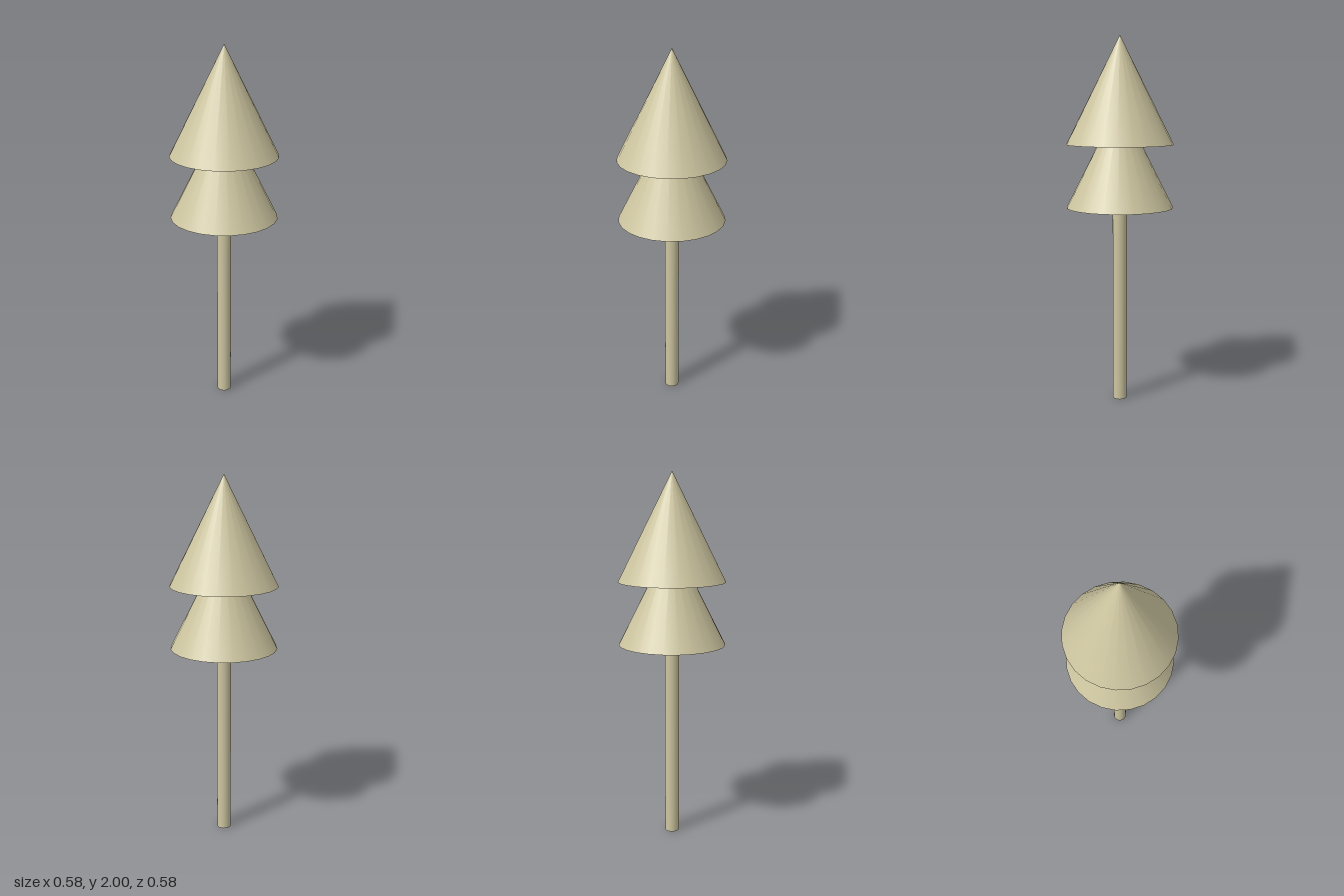
import * as THREE from 'three';

const SIDES = 24;

export function createModel() {
  const model = new THREE.Group();
  const material = new THREE.MeshStandardMaterial({ color: 0xcdc5a0 });

  // Adds a named part standing on height y
  const add = (name, geometry, y, height) => {
    const mesh = new THREE.Mesh(geometry, material);
    mesh.name = name;
    mesh.position.y = y + height / 2;
    model.add(mesh);
  };

  // Slim round trunk, ending just inside the lower cone
  const trunkHeight = 1.1;
  add('trunk', new THREE.CylinderGeometry(0.039, 0.039, trunkHeight, SIDES), 0, trunkHeight);

  // Two equal foliage cones, the upper one overlapping the lower
  const coneHeight = 0.575;
  const tiers = { lowerFoliage: 1.085, upperFoliage: 1.425 };
  for (const [name, y] of Object.entries(tiers)) {
    add(name, new THREE.ConeGeometry(0.29, coneHeight, SIDES), y, coneHeight);
  }

  return model;
}
